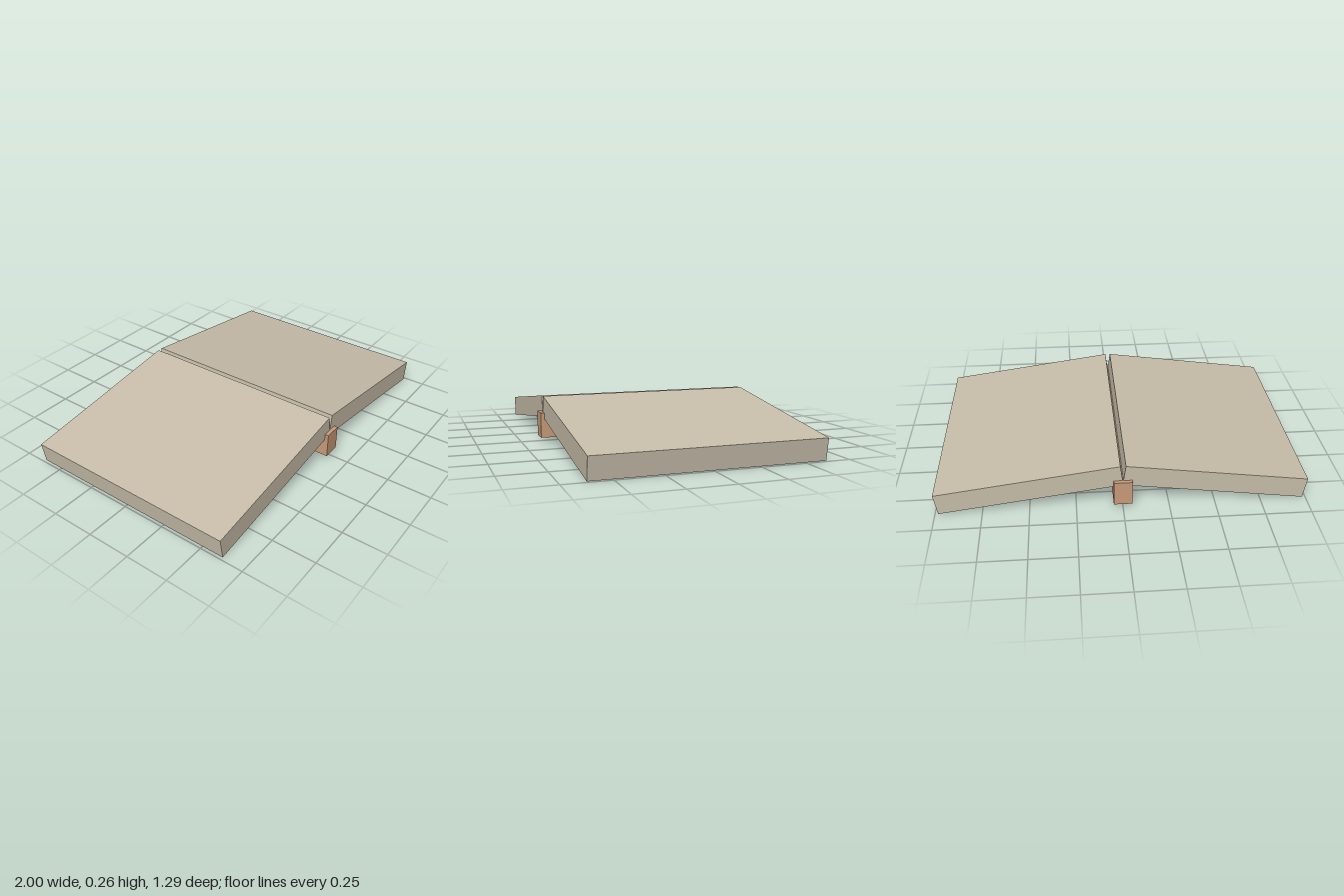
import * as THREE from 'three';

export function createModel() {
  const model = new THREE.Group();
  const stone = new THREE.MeshStandardMaterial({ color: 0xc9bfab });
  stone.name = 'pale stone';
  const wood = new THREE.MeshStandardMaterial({ color: 0xc99c7a });
  wood.name = 'warm wood';

  // Two thick slabs sloping down from the ridge
  const tilt = THREE.MathUtils.degToRad(8);
  const length = 0.995, thickness = 0.122, depth = 1.246;
  const height = length * Math.sin(tilt) + thickness * Math.cos(tilt);
  for (const side of [1, -1]) {
    const geometry = new THREE.BoxGeometry(length, thickness, depth);
    // Put the pivot on the upper outer edge, which sits at x = 1
    geometry.translate(-side * length / 2, -thickness / 2, 0);
    const slab = new THREE.Mesh(geometry, stone);
    slab.name = side > 0 ? 'leftRoofSlab' : 'rightRoofSlab';
    slab.rotation.z = -side * tilt;
    slab.position.set(side, height - length * Math.sin(tilt), 0);
    model.add(slab);
  }

  // Ridge beam running front to back under the joint
  const beam = new THREE.Mesh(new THREE.BoxGeometry(0.1, 0.142, 1.288), wood);
  beam.name = 'ridgeBeam';
  beam.position.y = 0.097;
  model.add(beam);

  return model;
}
